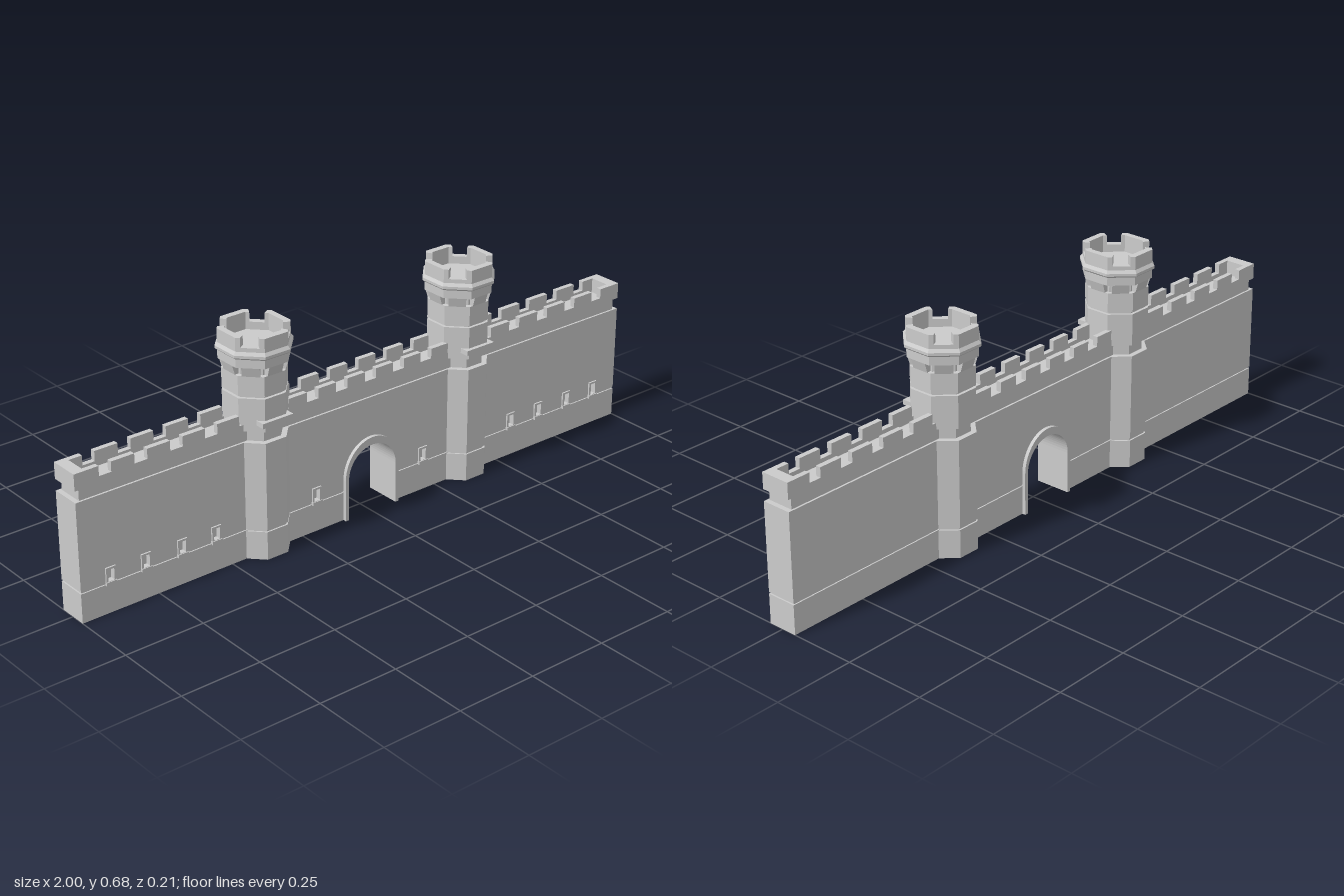
import * as THREE from 'three';

const stone = new THREE.MeshStandardMaterial({ color: 0xcccccc, flatShading: true });
const Z = 0.047;        // half thickness of the wall
const ARCH = 0.094;     // half width of the cut for the gate
const SPRING = 0.13;    // height where the arch starts to curve

function add(parent, name, geometry) {
  const mesh = new THREE.Mesh(geometry, stone);
  mesh.name = name;
  parent.add(mesh);
  return mesh;
}

function box(parent, name, x0, x1, y0, y1, z0, z1) {
  const mesh = add(parent, name, new THREE.BoxGeometry(x1 - x0, y1 - y0, z1 - z0));
  mesh.position.set((x0 + x1) / 2, (y0 + y1) / 2, (z0 + z1) / 2);
  return mesh;
}

function rect(Type, x0, x1, y0, y1) {
  return new Type([[x0, y0], [x1, y0], [x1, y1], [x0, y1]].map(p => new THREE.Vector2(...p)));
}

function extrude(shape, depth) {
  return new THREE.ExtrudeGeometry(shape, { depth, bevelEnabled: false, curveSegments: 16 });
}

// Plan shape raised between two heights
function raise(shape, y0, y1) {
  return extrude(shape, y1 - y0).rotateX(-Math.PI / 2).translate(0, y0, 0);
}

// Rectangular plan frame, open in the middle
function frame(x0, x1, z, tx, tz) {
  const s = rect(THREE.Shape, x0, x1, -z, z);
  s.holes.push(rect(THREE.Path, x0 + tx, x1 - tx, -z + tz, z - tz));
  return s;
}

// Wall elevation with the gate cut out
function wallShape() {
  const s = new THREE.Shape();
  s.moveTo(-1, 0.095);
  s.lineTo(-ARCH, 0.095);
  s.lineTo(-ARCH, SPRING);
  s.absarc(0, SPRING, ARCH, Math.PI, 0, true);
  s.lineTo(ARCH, 0.095);
  s.lineTo(1, 0.095);
  s.lineTo(1, 0.365);
  s.lineTo(-1, 0.365);
  s.closePath();
  return s;
}

function createWall() {
  const wall = new THREE.Group();
  wall.name = 'wall';
  const windows = [0.2, 0.555, 0.67, 0.79, 0.905].flatMap(x => [-x, x]);

  // Main wall, with a thin front layer pierced for the windows
  add(wall, 'wallCore', extrude(wallShape(), Z + 0.035).translate(0, 0, -Z));
  const skin = wallShape();
  windows.forEach(x => skin.holes.push(rect(THREE.Path, x - 0.01, x + 0.01, 0.1, 0.136)));
  add(wall, 'wallFront', extrude(skin, Z - 0.035).translate(0, 0, 0.035));

  // Window frames and sills
  windows.forEach(x => {
    const s = rect(THREE.Shape, x - 0.016, x + 0.016, 0.097, 0.142);
    s.holes.push(rect(THREE.Path, x - 0.01, x + 0.01, 0.1, 0.136));
    add(wall, 'windowFrame', extrude(s, 0.006).translate(0, 0, 0.046));
    box(wall, 'windowSill', x - 0.017, x + 0.017, 0.089, 0.099, 0.046, 0.055);
  });

  // Hollow plinths with a narrow groove above
  for (const [a, b] of [[-1, -ARCH], [ARCH, 1]]) {
    add(wall, 'plinth', raise(frame(a, b, Z, 0.012, 0.01), 0, 0.09));
    box(wall, 'plinthGroove', a + 0.005, b - 0.005, 0.088, 0.096, -0.043, 0.043);
  }

  // Recessed neck, walkway and parapet
  box(wall, 'walkway', -0.985, 0.985, 0.364, 0.404, -0.041, 0.041);
  add(wall, 'parapet', raise(frame(-1, 1, Z, 0.035, 0.016), 0.4, 0.42));
  for (const s of [-1, 1]) {
    box(wall, 'endMerlon', s > 0 ? 0.965 : -1, s > 0 ? 1 : -0.965, 0.419, 0.45, -Z, Z);
    const centres = [0.0525, 0.1575, 0.2625, 0.5025, 0.6175, 0.7325, 0.8475, 0.9445];
    for (const x of centres) {
      const half = x > 0.9 ? 0.0215 : x > 0.4 ? 0.037 : 0.032;
      for (const z of [-0.039, 0.039])
        box(wall, 'merlon', s * x - half, s * x + half, 0.419, 0.45, z - 0.008, z + 0.008);
    }
  }
  return wall;
}

// Projecting trim that lines the gate
function createGateTrim(parent) {
  const s = new THREE.Shape();
  s.moveTo(-0.1, 0);
  s.lineTo(-0.1, SPRING);
  s.absellipse(0, SPRING, 0.1, 0.112, Math.PI, 0, true);
  s.lineTo(0.1, 0);
  s.lineTo(0.088, 0);
  s.lineTo(0.088, SPRING);
  s.absarc(0, SPRING, 0.088, 0, Math.PI, false);
  s.lineTo(-0.088, 0);
  s.closePath();
  add(parent, 'gateTrim', extrude(s, 0.116).translate(0, 0, -0.058));
}

// Point on an octagon of given apothem
function octPoint(apothem, angle) {
  const face = Math.round(angle / (Math.PI / 4)) * Math.PI / 4;
  const r = apothem / Math.cos(angle - face);
  return new THREE.Vector2(r * Math.cos(angle), r * Math.sin(angle));
}

function createTower(x) {
  const tower = new THREE.Group();
  tower.name = 'tower';
  const k = 1 / Math.cos(Math.PI / 8);

  // Octagonal shaft with grooves, head, rim and sunken roof
  const profile = [
    [0, 0], [0.091, 0], [0.091, 0.088], [0.086, 0.088], [0.086, 0.095], [0.091, 0.095],
    [0.091, 0.365], [0.075, 0.365], [0.075, 0.4], [0.091, 0.4], [0.091, 0.5],
    [0.082, 0.5], [0.082, 0.507], [0.091, 0.507], [0.091, 0.567], [0.078, 0.567],
    [0.078, 0.595], [0.1, 0.595], [0.1, 0.62], [0.107, 0.626], [0.107, 0.634],
    [0.1, 0.643], [0.1, 0.655], [0.08, 0.655], [0.08, 0.632], [0, 0.632],
  ].map(([r, y]) => new THREE.Vector2(r * k, y));
  add(tower, 'towerBody', new THREE.LatheGeometry(profile, 8, Math.PI / 8));

  // Flared corbels, one on every face
  const corbel = new THREE.Shape([[0.07, 0.566], [0.091, 0.566], [0.1, 0.596], [0.07, 0.596]]
    .map(p => new THREE.Vector2(...p)));
  for (let i = 0; i < 8; i++)
    add(tower, 'corbel', extrude(corbel, 0.052).translate(0, 0, -0.026)).rotation.y = i * Math.PI / 4;

  // Four battlements wrapping round the octagon corners
  const angles = [-0.52, -Math.PI / 8, Math.PI / 8, 0.52];
  const plan = new THREE.Shape([
    ...angles.map(a => octPoint(0.1, a)),
    ...angles.slice().reverse().map(a => octPoint(0.08, a)),
  ]);
  for (let i = 0; i < 4; i++)
    add(tower, 'towerMerlon', raise(plan, 0.654, 0.684)).rotation.y = i * Math.PI / 2;

  // Ledge on the front
  box(tower, 'frontLedge', -0.055, 0.055, 0.42, 0.435, 0.07, 0.103);

  tower.scale.x = 0.95;
  tower.position.x = x;
  return tower;
}

export function createModel() {
  const model = new THREE.Group();
  model.name = 'castleGateWall';
  model.add(createWall());
  createGateTrim(model);
  model.add(createTower(-0.374), createTower(0.374));
  return model;
}
